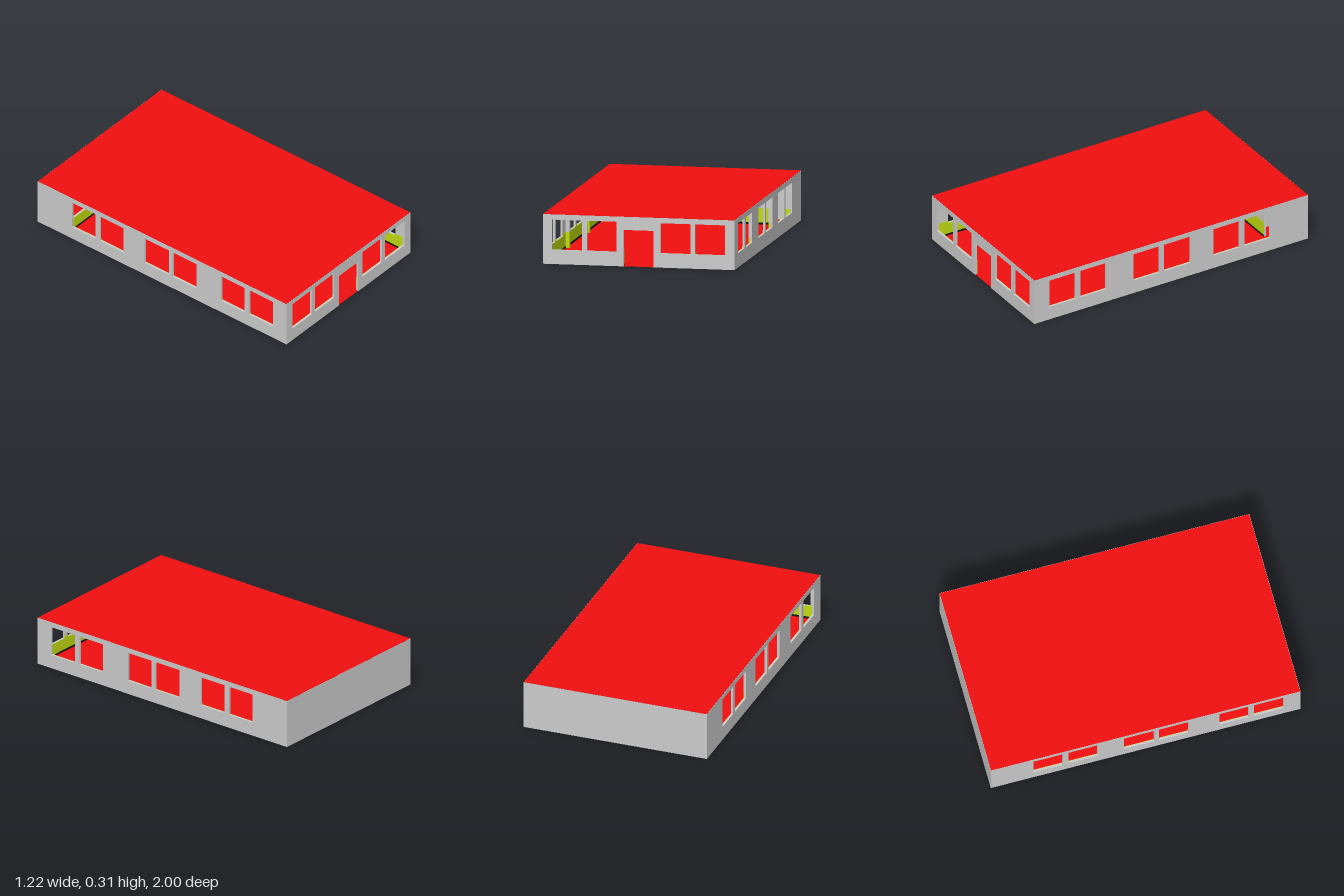
import * as THREE from 'three';

const W = 1.22, L = 2, H = 0.313, T = 0.014;   // hall width, length, wall height, wall thickness
const STAGE_Z = -0.775, STAGE_X = 0.345;
const mat = (color) => new THREE.MeshStandardMaterial({ color });

export function createModel() {
  const grey = mat(0xcccccc), red = mat(0xf00f0f), lime = mat(0xc0da0f), black = mat(0x111111);
  const model = new THREE.Group();

  function box(name, material, x0, x1, y0, y1, z0, z1) {
    const m = new THREE.Mesh(new THREE.BoxGeometry(x1 - x0, y1 - y0, z1 - z0), material);
    m.position.set((x0 + x1) / 2, (y0 + y1) / 2, (z0 + z1) / 2);
    m.name = name;
    model.add(m);
  }

  // Upright panel from u0 to u1; openings are [left, right, bottom, top].
  // Openings that touch the floor or pass the top edge become notches.
  function panel(name, material, u0, u1, h, depth, openings) {
    const list = openings.filter((o) => o[0] > u0 && o[1] < u1 && o[2] < h).sort((a, b) => a[0] - b[0]);
    const s = new THREE.Shape();
    s.moveTo(u0, 0);
    for (const [a, b, y0, y1] of list) {
      if (y0 > 0 || y1 >= h) continue;
      s.lineTo(a, 0); s.lineTo(a, y1); s.lineTo(b, y1); s.lineTo(b, 0);
    }
    s.lineTo(u1, 0); s.lineTo(u1, h);
    for (const [a, b, y0, y1] of [...list].reverse()) {
      if (y1 < h) continue;
      s.lineTo(b, h); s.lineTo(b, y0); s.lineTo(a, y0); s.lineTo(a, h);
    }
    s.lineTo(u0, h);
    for (const [a, b, y0, y1] of list) {
      if (y0 === 0 || y1 >= h) continue;
      const hole = new THREE.Path();
      hole.moveTo(a, y0); hole.lineTo(a, y1); hole.lineTo(b, y1); hole.lineTo(b, y0);
      s.holes.push(hole);
    }
    const m = new THREE.Mesh(new THREE.ExtrudeGeometry(s, { depth, bevelEnabled: false }), material);
    m.name = name;
    return m;
  }

  // Wall with painted dado and skirting; its outer face lies on local z = 0.
  function wall(name, u0, u1, openings, dado, dadoInFront = false) {
    const g = new THREE.Group();
    g.name = name;
    const body = panel(name + 'Panel', grey, u0, u1, H, T, openings);
    body.position.z = -T;
    g.add(body);
    if (dado) {
      const doors = openings.filter((o) => o[2] === 0);
      // split at doorways so that both strips stay simple outlines
      const edges = [dado[0], ...doors.flatMap((o) => [o[0], o[1]]), dado[1]];
      for (let i = 0; i < edges.length; i += 2) {
        const paint = panel('dado', lime, edges[i], edges[i + 1], 0.105, 0.002, openings);
        const skirting = panel('skirting', black, edges[i], edges[i + 1], 0.015, 0.004, []);
        paint.position.z = dadoInFront ? 0 : -T - 0.002;
        skirting.position.z = dadoInFront ? 0 : -T - 0.004;
        g.add(paint, skirting);
      }
    }
    model.add(g);
    return g;
  }

  // Floor and flat roof
  box('floor', red, -W / 2 + 0.004, W / 2 - 0.004, 0, 0.003, -L / 2 + 0.004, L / 2 - 0.004);
  box('roof', red, -W / 2 + 0.002, W / 2 - 0.002, H - 0.004, H + 0.002, -L / 2 + 0.002, L / 2 - 0.002);

  // Front wall: four windows and a central door
  const frontOpenings = [[-0.095, 0.095, 0, 0.23]];
  for (const x of [-0.55, -0.33, 0.14, 0.36]) frontOpenings.push([x, x + 0.19, 0.09, 0.28]);
  const inner = W / 2 - T;
  wall('frontWall', -W / 2, W / 2, frontOpenings, [-inner, inner]).position.z = L / 2;

  // Plain back wall
  const back = wall('backWall', -W / 2, W / 2, []);
  back.rotation.y = Math.PI;
  back.position.z = -L / 2;

  // Side walls: three pairs of windows each, given as z ranges
  const windows = [[0.70, 0.89], [0.475, 0.663], [0.085, 0.275], [-0.14, 0.055], [-0.5, -0.31], [-0.723, -0.535]];
  for (const side of [1, -1]) {
    const openings = windows.map(([a, b]) => (side > 0 ? [-b, -a, 0.09, 0.28] : [a, b, 0.09, 0.28]));
    const end = L / 2 - T;
    const dado = side > 0 ? [-end, -STAGE_Z] : [STAGE_Z, end];
    const g = wall(side > 0 ? 'leftWall' : 'rightWall', -L / 2 + T, L / 2 - T, openings, dado);
    g.rotation.y = side * Math.PI / 2;
    g.position.x = side * W / 2;

    // Wall piers between the window pairs
    for (const z of [0.37, -0.23]) {
      const xs = [side * (inner - 0.025), side * inner].sort((a, b) => a - b);
      box('pierBase', lime, xs[0], xs[1], 0, 0.105, z - 0.02, z + 0.02);
      box('pier', grey, xs[0], xs[1], 0.105, H - 0.004, z - 0.02, z + 0.02);
    }
  }

  // Stage wall: wide stage opening and a doorway to the side room
  const stageOpenings = [[-0.58, STAGE_X, 0.09, 0.26], [0.45, 0.55, 0, 0.23]];
  wall('stageWall', -inner, inner, stageOpenings, [-inner, inner], true).position.z = STAGE_Z;

  // Stage floor and the side room's partition
  box('stageFloor', red, -inner, STAGE_X, 0.08, 0.089, -L / 2 + T, STAGE_Z - T);
  box('sideRoomPartition', grey, STAGE_X, STAGE_X + T, 0.003, H - 0.004, -L / 2 + T, STAGE_Z - T);

  return model;
}
